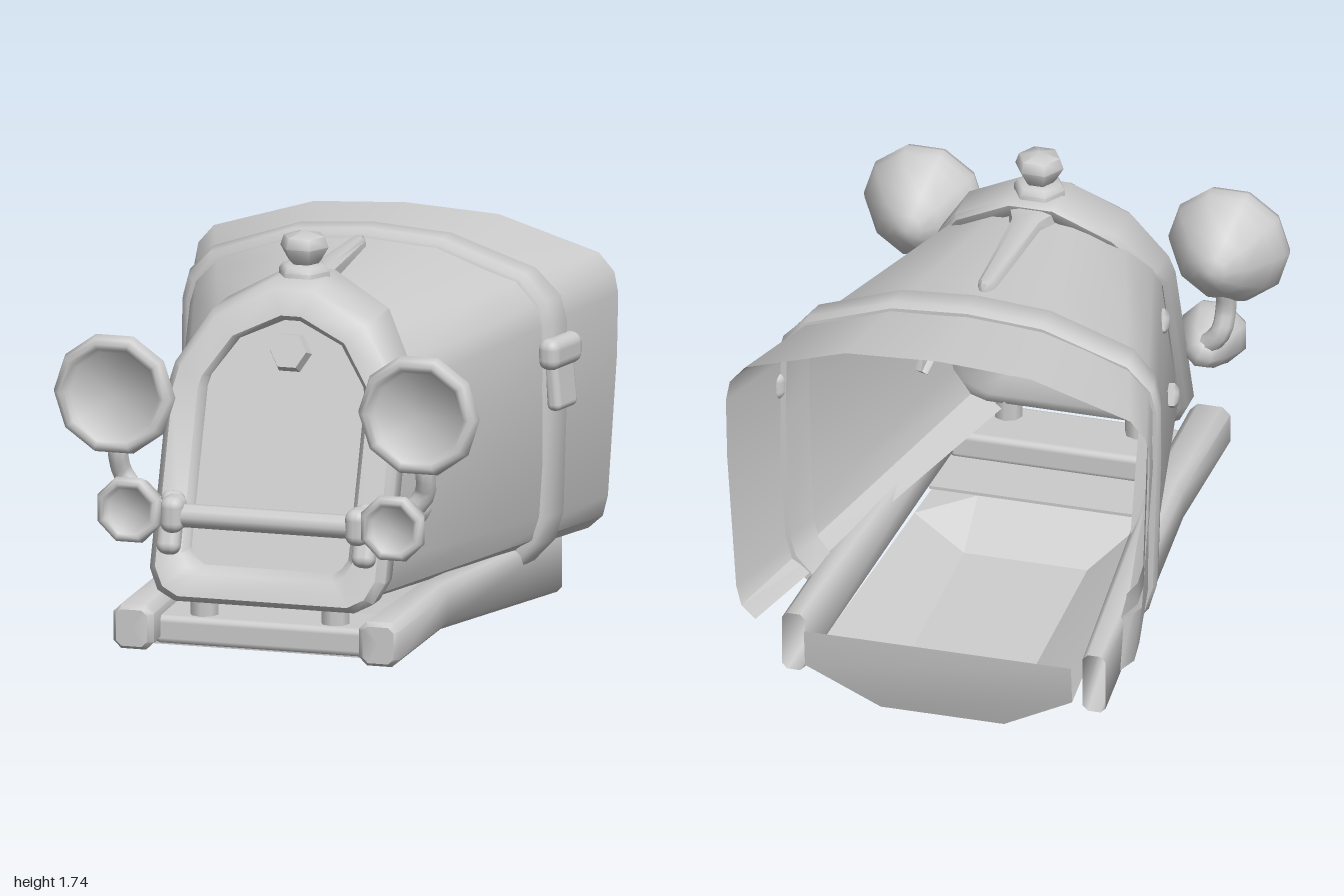
import * as THREE from 'three';
import { toCreasedNormals } from 'three/addons/utils/BufferGeometryUtils.js';
import { RoundedBoxGeometry } from 'three/addons/geometries/RoundedBoxGeometry.js';

const mat = new THREE.MeshStandardMaterial({ color: 0xcccccc, side: THREE.DoubleSide });
const lerp = THREE.MathUtils.lerp;

// Skin a list of cross-sections; ring closes each section, loop joins last to first, caps close the ends
function loft(sections, { ring = false, loop = false, capStart = false, capEnd = false, crease = 0.7 } = {}) {
  const rows = sections.slice();
  const flat = s => {
    const c = [0, 1, 2].map(k => s.reduce((a, p) => a + p[k], 0) / s.length);
    return s.map(() => c);
  };
  if (capStart) rows.unshift(flat(sections[0]));
  if (capEnd) rows.push(flat(sections[sections.length - 1]));
  const n = rows[0].length, m = rows.length, idx = [];
  for (let i = 0; i < (loop ? m : m - 1); i++) {
    for (let j = 0; j < (ring ? n : n - 1); j++) {
      const i2 = (i + 1) % m, j2 = (j + 1) % n;
      const a = i * n + j, b = i2 * n + j, c = i2 * n + j2, d = i * n + j2;
      idx.push(a, b, c, a, c, d);
    }
  }
  const g = new THREE.BufferGeometry();
  g.setAttribute('position', new THREE.Float32BufferAttribute(rows.flat(2), 3));
  g.setIndex(idx);
  return toCreasedNormals(g, crease);
}

function lathe(points, sides, start = 0) {
  const g = new THREE.LatheGeometry(points.map(p => new THREE.Vector2(...p)), sides, start);
  return toCreasedNormals(g, 1.1);
}

// Sloping plane of the radiator front
const slopeZ = y => 0.88 - 0.37 * (y - 0.5);
const TILT = Math.PI / 2 - 0.354;

// Half outlines of the hood (x, y), bottom to crown
const HOOD_FRONT = [[0.25, 0.4], [0.37, 0.45], [0.425, 0.57], [0.425, 1.0], [0.425, 1.19], [0.4, 1.27], [0.3, 1.39], [0.13, 1.48], [0, 1.5]];
const HOOD_REAR = [[0.71, 0.33], [0.765, 0.38], [0.785, 0.46], [0.82, 1.0], [0.825, 1.24], [0.81, 1.32], [0.75, 1.39], [0.36, 1.51], [0, 1.53]];
const REAR_Z = -0.98;

function hoodHalf(zOf) {
  return HOOD_FRONT.map(([x, y], i) => {
    const z0 = slopeZ(y) - 0.1, z = zOf(z0), t = (z0 - z) / (z0 - REAR_Z);
    return [lerp(x, HOOD_REAR[i][0], t), lerp(y, HOOD_REAR[i][1], t), z];
  });
}
const mirrorHalf = half => [...half, ...half.slice(0, -1).reverse().map(([x, y, z]) => [-x, y, z])];

// Chamfered rectangle section of a rail
function railSection(xi, xo, yb, yt, z, c = 0.03) {
  return [[xi + c, yb], [xo - c, yb], [xo, yb + c], [xo, yt - c], [xo - c, yt], [xi + c, yt], [xi, yt - c], [xi, yb + c]]
    .map(([x, y]) => [x, y, z]);
}

export function createModel() {
  const model = new THREE.Group();
  const add = (name, geo, pos = [0, 0, 0], rot = [0, 0, 0], parent = model) => {
    const mesh = new THREE.Mesh(geo, mat);
    mesh.name = name;
    mesh.position.set(...pos);
    mesh.rotation.set(...rot);
    parent.add(mesh);
  };

  // Hood shell, open at the rear
  add('hood', loft([z => z, z => lerp(z, REAR_Z, 0.5), () => REAR_Z].map(f => mirrorHalf(hoodHalf(f)))));

  // Strap wrapped over the hood
  const line = mirrorHalf(hoodHalf(() => -0.525));
  const strap = line.map(([x, y], i) => {
    const a = line[Math.max(i - 1, 0)], b = line[Math.min(i + 1, line.length - 1)];
    const len = Math.hypot(b[0] - a[0], b[1] - a[1]);
    const nx = (b[1] - a[1]) / len, ny = -(b[0] - a[0]) / len;
    const drop = i === 0 || i === line.length - 1 ? 0.03 : 0;
    return [[-0.45, -0.03], [-0.45, 0.01], [-0.475, 0.03], [-0.575, 0.03], [-0.6, 0.015], [-0.6, -0.02]].map(([z, o]) => {
      const flare = -0.245 * (z + 0.525) * Math.sign(x) * Math.min(1, Math.abs(nx) * 1.2);
      return [x + nx * o + flare, y + ny * o - drop, z];
    });
  });
  add('hoodStrap', loft(strap, { ring: true, capStart: true, capEnd: true, crease: 0.9 }));
  add('strapBuckle', new RoundedBoxGeometry(0.09, 0.12, 0.22, 3, 0.04), [0.735, 1.12, -0.52], [0, -0.245, 0]);
  add('strapTongue', new RoundedBoxGeometry(0.06, 0.19, 0.15, 3, 0.025), [0.738, 0.995, -0.52], [0, -0.245, 0.1]);

  // Raised spine along the crown
  const spine = [[0.28, 0.1], [0.23, 0.085], [0.17, 0.058], [-0.34, 0.036], [-0.375, 0.02], [-0.385, 0.005]];
  add('hoodSpine', loft(spine.map(([z, w], i) => {
    const top = i === 5 ? 1.525 : 1.547;
    return [[-w, 1.48, z], [-w * 0.9, top - 0.012, z], [-w * 0.5, top, z], [w * 0.5, top, z], [w * 0.9, top - 0.012, z], [w, 1.48, z]];
  }), { capEnd: true, crease: 0.9 }));

  // Radiator surround: outer and inner outline pairs, standing proud of the hood
  const half = [[0.35, 0.41, 0.25, 0.54], [0.42, 0.445, 0.285, 0.56], [0.458, 0.52, 0.31, 0.6], [0.458, 1.17, 0.31, 1.17],
    [0.44, 1.25, 0.3, 1.21], [0.315, 1.445, 0.2, 1.35], [0.09, 1.568, 0.03, 1.425]];
  const outline = [...half, ...half.slice().reverse().map(([a, b, c, d]) => [-a, b, -c, d])];
  add('radiatorSurround', loft(outline.map(([ox, oy, ix, iy]) => {
    const depth = 0.16 + 0.1 * THREE.MathUtils.clamp((oy - 1.17) / 0.15, 0, 1);
    const at = (k, d) => {
      const y = lerp(oy, iy, k);
      return [lerp(ox, ix, k), y, slopeZ(y) - d];
    };
    return [at(0.4, depth), at(0.1, depth), at(0, depth - 0.03), at(0, 0.04), at(0.2, 0), at(0.85, 0), at(1, 0.03), at(1, 0.11)];
  }), { ring: true, loop: true, crease: 0.85 }));

  // Radiator panel set inside the surround
  const panel = new THREE.ShapeGeometry(new THREE.Shape(outline.map(([, , x, y]) => new THREE.Vector2(x * 1.02, y))));
  const pp = panel.attributes.position;
  for (let i = 0; i < pp.count; i++) pp.setZ(i, slopeZ(pp.getY(i)) - 0.06);
  panel.computeVertexNormals();
  add('radiatorPanel', panel);

  const badge = new THREE.CylinderGeometry(0.07, 0.085, 0.06, 6).rotateY(Math.PI / 6);
  add('badge', toCreasedNormals(badge, 0.4), [0, 1.31, slopeZ(1.31) - 0.045], [TILT, 0, 0]);

  // Filler cap
  add('fillerCap', lathe([[0.1, 1.52], [0.1, 1.585], [0.085, 1.607], [0.055, 1.612], [0.065, 1.625], [0.094, 1.675],
    [0.08, 1.715], [0, 1.735]], 6, Math.PI / 2), [0, 0, 0.35]);

  // Lamp bar and chassis cross member
  add('lampBar', new THREE.CylinderGeometry(0.045, 0.045, 0.68, 10), [0, 0.735, 0.85], [0, 0, Math.PI / 2]);
  add('frontCrossMember', new RoundedBoxGeometry(0.86, 0.11, 0.28, 2, 0.025), [0, 0.295, 0.74]);
  add('underPlate', new THREE.BoxGeometry(0.86, 0.012, 0.52), [0, 0.246, 0.61]);

  // Belly pan with sloped nose and a rear wall that rises between the rails
  const panRow = (w, top, zt, bot, zb) => [[-w, top, zt], [-0.24, bot, zb], [0.24, bot, zb], [w, top, zt]];
  const panRear = panRow(0.52, 0.16, -0.97, 0, -0.92);
  add('bellyPan', loft([panRow(0.42, 0.24, 0.35, 0.24, 0.35), panRow(0.434, 0.23, 0.17, 0.09, 0.17), panRear], { crease: 0.1 }));
  add('bellyPanRearWall', loft([[[-0.52, 0.31, -0.985], [0.52, 0.31, -0.985]], [panRear[0], panRear[3]], [panRear[1], panRear[2]]]));

  // Lathe profiles of the lamps: radius, position along the axis
  const bigLamp = [[0, 0.59], [0.055, 0.61], [0.12, 0.66], [0.2, 0.76], [0.225, 0.81], [0.237, 0.84], [0.225, 0.875], [0.205, 0.887],
    [0.185, 0.88], [0.17, 0.86], [0, 0.868]];
  const smallLamp = [[0, 0.7], [0.05, 0.72], [0.09, 0.79], [0.12, 0.88], [0.134, 0.915], [0.125, 0.938], [0.11, 0.946], [0.095, 0.942],
    [0.083, 0.925], [0, 0.932]];

  // Paired parts
  for (const [side, s] of [['left', 1], ['right', -1]]) {
    const g = new THREE.Group();
    g.name = side + 'SideParts';
    model.add(g);
    const put = (name, geo, pos, rot) => add(side + name, geo, pos, rot, g);

    put('Headlamp', lathe(bigLamp, 10, Math.PI / 10), [s * 0.593, 1.18, 0], [Math.PI / 2, 0, 0]);
    put('LowerLamp', lathe(smallLamp, 8, Math.PI / 8), [s * 0.513, 0.758, 0], [Math.PI / 2, 0, 0]);

    // Curved arm carrying both lamps
    const arm = new THREE.CatmullRomCurve3([[0.6, 1.1, 0.74], [0.6, 0.95, 0.775], [0.585, 0.85, 0.75], [0.5, 0.77, 0.77], [0.37, 0.735, 0.83]]
      .map(([x, y, z]) => new THREE.Vector3(s * x, y, z)));
    put('LampArm', new THREE.TubeGeometry(arm, 14, 0.04, 8), [0, 0, 0]);
    put('BarCollar', new RoundedBoxGeometry(0.09, 0.14, 0.12, 3, 0.04), [s * 0.36, 0.74, 0.85]);
    put('BarBracket', new RoundedBoxGeometry(0.09, 0.24, 0.09, 3, 0.035), [s * 0.38, 0.695, 0.815], [-0.354, 0, 0]);

    // Radiator post
    put('RadiatorPost', new THREE.CylinderGeometry(0.055, 0.055, 0.16, 8), [s * 0.255, 0.39, 0.8]);

    // Side fasteners
    for (const [y, z, x] of [[1.08, 0.36, 0.473], [0.72, 0.45, 0.484]]) {
      const dome = lathe([[0.05, -0.02], [0.05, 0.012], [0.03, 0.028], [0, 0.032]], 5);
      dome.rotateX(Math.PI / 2).rotateY(s * (Math.PI / 2 - 0.245));
      put('Fastener', dome, [s * x, y, z]);
    }

    // Chassis rail, hollow at the rear
    const rail = [railSection(0.42, 0.54, 0.255, 0.395, 1.0, 0.02), railSection(0.4, 0.557, 0.24, 0.41, 0.975),
      railSection(0.42, 0.56, 0.24, 0.41, 0.35), railSection(0.54, 0.63, 0.095, 0.33, -0.9, 0.02)];
    put('ChassisRail', loft(rail.map(r => r.map(([x, y, z]) => [s * x, y, z])), { ring: true, capStart: true, crease: 0.9 }));
  }
  return model;
}
